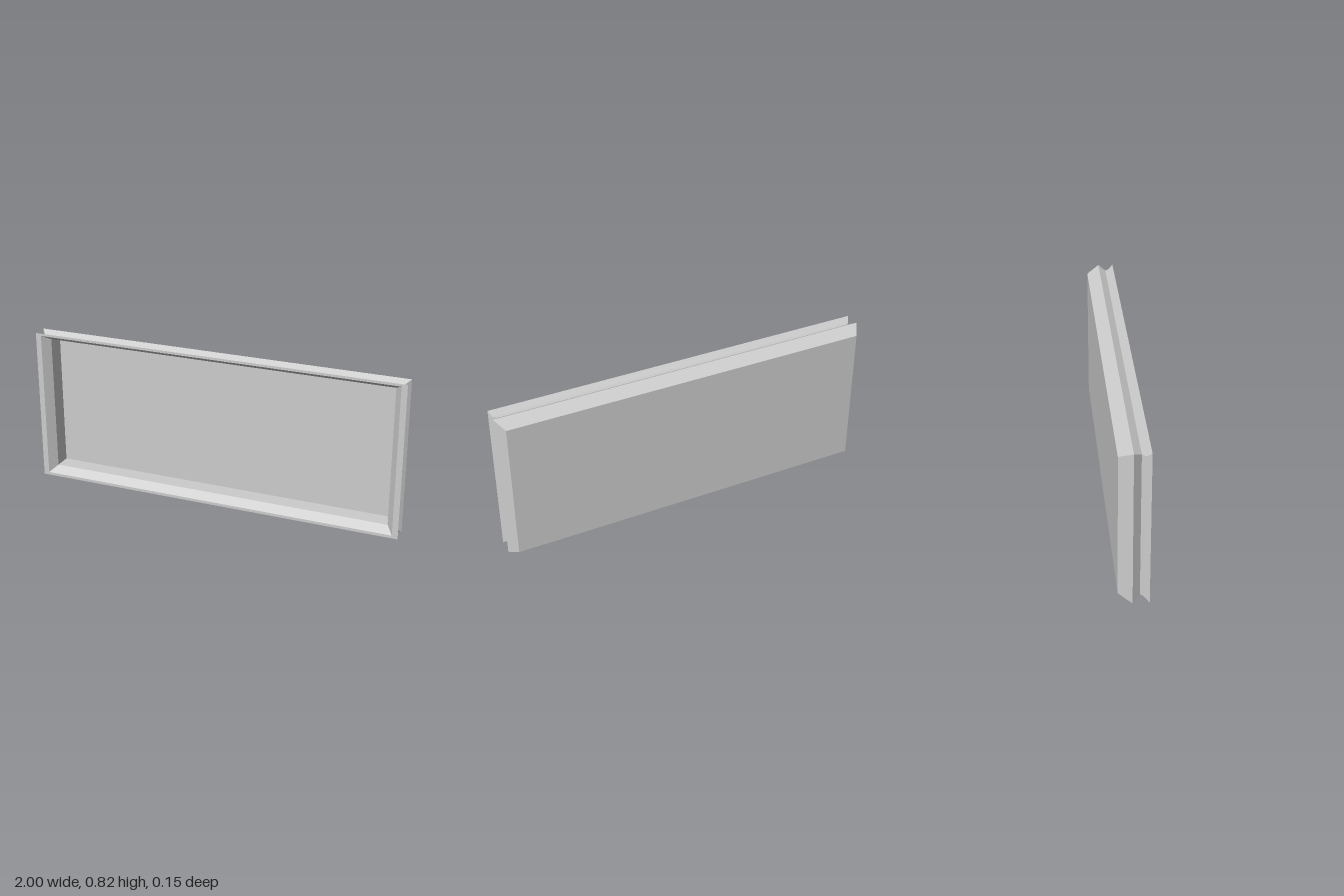
import * as THREE from 'three';

const HEIGHT = 0.82;

// One rectangular cross-section: inset from the sides, top and bottom, and depth;
// depth and side inset may differ along the bottom edge
function section(insetX, insetTop, insetBottom, z, zBottom = z, insetXBottom = insetX) {
  const x = 1 - insetX, xb = 1 - insetXBottom, top = HEIGHT - insetTop;
  return [[-xb, insetBottom, zBottom], [xb, insetBottom, zBottom], [x, top, z], [-x, top, z]];
}

// Joins consecutive sections with flat walls; cap closes the last one facing +z (1) or -z (-1)
function loft(name, sections, material, cap = 0) {
  const points = [];
  const quad = (a, b, c, d) => points.push(...a, ...b, ...c, ...a, ...c, ...d);
  for (let i = 0; i < sections.length - 1; i++) {
    const p = sections[i], q = sections[i + 1];
    for (let k = 0; k < 4; k++) {
      const n = (k + 1) % 4;
      quad(p[k], q[k], q[n], p[n]);
    }
  }
  const e = sections[sections.length - 1];
  if (cap < 0) quad(e[0], e[3], e[2], e[1]);
  if (cap > 0) quad(e[0], e[1], e[2], e[3]);
  const geometry = new THREE.BufferGeometry();
  geometry.setAttribute('position', new THREE.Float32BufferAttribute(points, 3));
  geometry.computeVertexNormals();
  const mesh = new THREE.Mesh(geometry, material);
  mesh.name = name;
  return mesh;
}

export function createModel() {
  const group = new THREE.Group();
  group.name = 'framedTray';
  const grey = new THREE.MeshStandardMaterial({ color: 0xcccccc });
  grey.name = 'plain grey';

  const frontOuter = section(0, 0, 0, 0.073);
  const frontInner = section(0.03, 0.013, 0.015, 0.073);
  const panelEdge = section(0.065, 0.04, 0.047, -0.062);

  // Outer shell: front lip, groove, ridge, tapered back
  group.add(loft('outerShell', [
    frontOuter,
    section(0.013, 0.022, 0.028, 0.05, 0.042, 0.018),
    section(0.03, 0.022, 0.028, 0.03),
    section(0, 0, 0, -0.007),
    section(0.038, 0.034, 0.035, -0.073),
  ], grey, -1));

  // Flat rim around the opening
  group.add(loft('frontRim', [frontInner, frontOuter], grey));

  // Recess: bevel behind the rim, then straight walls to the panel
  group.add(loft('innerRecess', [
    panelEdge,
    section(0.065, 0.04, 0.047, 0.028),
    frontInner,
  ], grey));

  // Flat panel at the bottom of the recess
  group.add(loft('backPanel', [panelEdge], grey, 1));
  return group;
}
